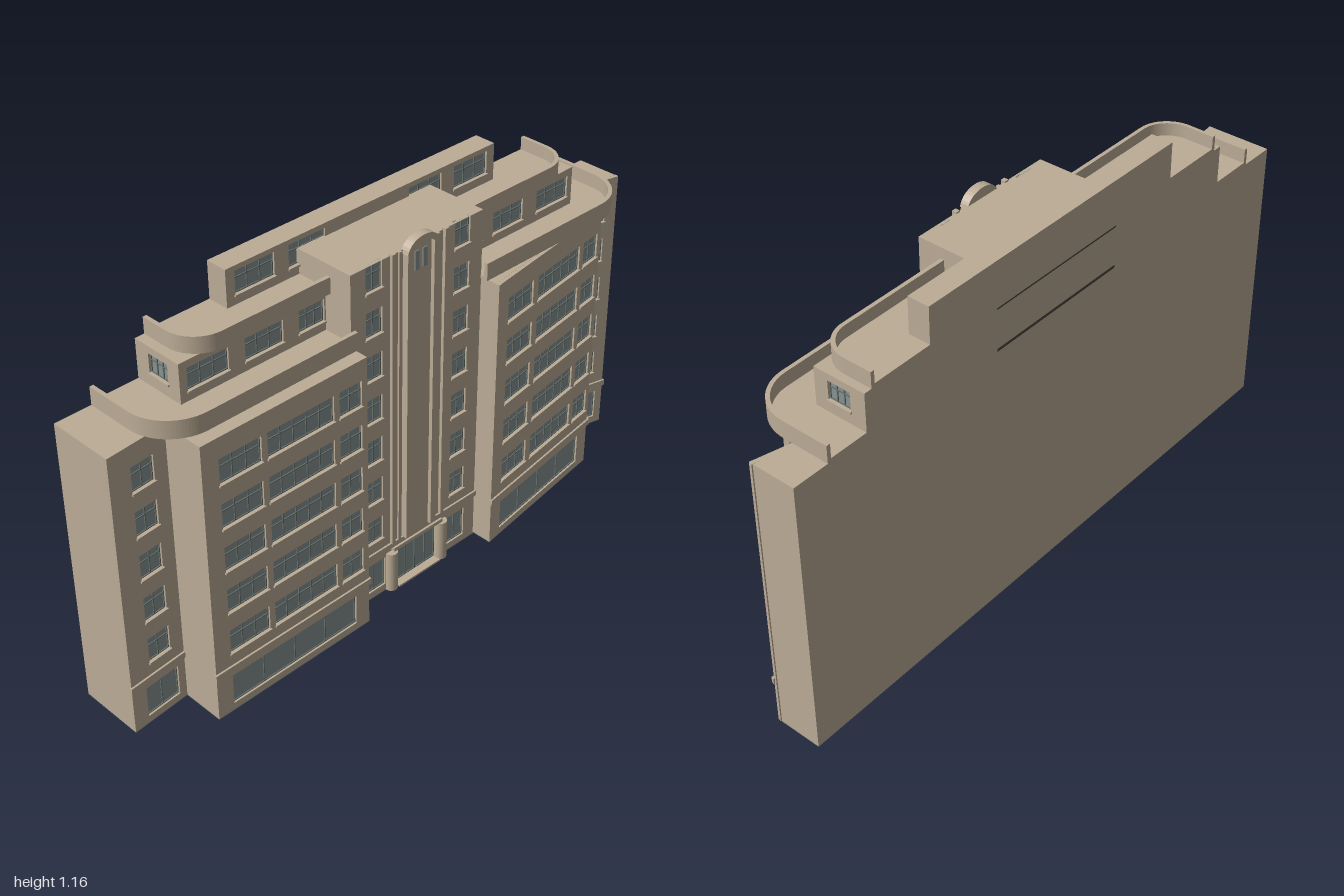
import * as THREE from 'three';
import { mergeGeometries } from 'three/addons/utils/BufferGeometryUtils.js';

const mat = (name, color) => {
  const m = new THREE.MeshStandardMaterial({ color });
  m.name = name;
  return m;
};

export function createModel() {
  const stone = mat('tan stone', 0xbcac96);
  const glass = mat('grey glass', 0x869391);
  const frame = mat('window frame grey', 0x69736f);
  const dark = mat('dark gap', 0x4a463f);
  const model = new THREE.Group();
  const BACK = -0.17, T = 0.012;

  const add = (name, geo, material, parent = model) => {
    const mesh = new THREE.Mesh(geo, material);
    mesh.name = name;
    parent.add(mesh);
    return mesh;
  };
  // box geometry from its limits
  const boxGeo = (x0, x1, y0, y1, z0, z1) =>
    new THREE.BoxGeometry(x1 - x0, y1 - y0, z1 - z0).translate((x0 + x1) / 2, (y0 + y1) / 2, (z0 + z1) / 2);
  const box = (name, material, ...b) => add(name, boxGeo(...b), material);
  // plan outline [x, z] raised from y0 to y1
  const slab = (name, shape, y0, y1, material = stone) =>
    add(name, new THREE.ExtrudeGeometry(shape, { depth: y1 - y0, bevelEnabled: false, curveSegments: 14 })
      .rotateX(-Math.PI / 2).translate(0, y0, 0), material);
  const plan = pts => new THREE.Shape(pts.map(([x, z]) => new THREE.Vector2(x, -z)));

  // Wall from a to b (plan points, outside on +z of its own frame) with real window openings.
  // opening: [from, to, yBottom, yTop, panes, sill]; from/to are x, or z on side walls
  function wall(name, a, b, y0, y1, openings = [], band = false) {
    const g = new THREE.Group();
    g.name = name;
    const dx = b[0] - a[0], dz = b[1] - a[1], len = Math.hypot(dx, dz);
    const axis = Math.abs(dx) > 0.001 ? 0 : 1;
    const along = v => (v - a[axis]) / (b[axis] - a[axis]) * len;
    const shape = new THREE.Shape([[0, y0], [len, y0], [len, y1], [0, y1]].map(p => new THREE.Vector2(...p)));
    const panes = [], bars = [], sills = [];
    for (const [p, q, bottom, top, n, sill] of openings) {
      const [u, v] = [along(p), along(q)].sort((m, k) => m - k);
      shape.holes.push(new THREE.Path([[u, bottom], [u, top], [v, top], [v, bottom]].map(c => new THREE.Vector2(...c))));
      panes.push(boxGeo(u, v, bottom, top, -T, -T + 0.003));
      const f = 0.003, z0 = -T, z1 = -T + 0.006;
      for (let i = 0; i <= n; i++) {
        const x = u + (v - u - f) * i / n;
        bars.push(boxGeo(x, x + f, bottom, top, z0, z1));
      }
      for (const y of [bottom, top - f].concat(sill ? [bottom + (top - bottom) * 0.62] : []))
        bars.push(boxGeo(u, v, y, y + f, z0, z1));
      if (sill) sills.push(boxGeo(u - 0.003, v + 0.003, bottom - 0.006, bottom, -0.004, 0.005));
    }
    if (band) sills.push(boxGeo(-0.004, len + 0.004, 0.143, 0.163, -0.004, 0.006));
    add(name + 'Face', new THREE.ExtrudeGeometry(shape, { depth: T, bevelEnabled: false }).translate(0, 0, -T), stone, g);
    if (panes.length) {
      add(name + 'Glass', mergeGeometries(panes), glass, g);
      add(name + 'WindowFrames', mergeGeometries(bars), frame, g);
    }
    if (sills.length) add(name + 'Sills', mergeGeometries(sills), stone, g);
    g.position.set(a[0], 0, a[1]);
    g.rotation.y = -Math.atan2(dz, dx);
    model.add(g);
  }

  // repeat window columns [from, to, panes] over a number of storeys
  const storeys = (columns, count = 5) => {
    const out = [];
    for (let i = 0; i < count; i++)
      for (const [p, q, n] of columns) out.push([p, q, 0.205 + i * 0.14, 0.285 + i * 0.14, n, true]);
    return out;
  };

  // main body behind the walls
  slab('bodyCore', plan([[-1, BACK], [-1, 0.028], [-0.798, 0.012], [-0.798, 0.148], [-0.257, 0.148], [-0.257, 0.083],
    [0.277, 0.083], [0.277, 0.146], [0.784, 0.078], [0.852, -0.067], [1, -0.033], [1, BACK]].reverse()), 0.002, 0.91);
  slab('underside', plan([[-1, BACK], [-1, 0.04], [-0.81, 0.025], [-0.81, 0.16], [-0.245, 0.16], [-0.245, 0.095],
    [0.265, 0.095], [0.265, 0.16], [0.79, 0.09], [0.86, -0.055], [1, -0.02], [1, BACK]].reverse()), 0, 0.003, glass);

  // street walls, left to right
  const Y0 = 0.003, H = 0.91;
  wall('westWing', [-1, 0.04], [-0.81, 0.025], Y0, H,
    [[-0.95, -0.835, 0.025, 0.125, 2], ...storeys([[-0.93, -0.855, 2]])], true);
  wall('westBayOuterSide', [-0.81, 0.025], [-0.81, 0.16], Y0, H);
  wall('westBay', [-0.81, 0.16], [-0.245, 0.16], Y0, H,
    [[-0.755, -0.295, 0.025, 0.125, 4],
      ...storeys([[-0.755, -0.615, 3], [-0.595, -0.365, 5], [-0.345, -0.265, 2]])], true);
  wall('westBayInnerSide', [-0.245, 0.16], [-0.245, 0.09], Y0, H);
  wall('eastBayInnerSide', [0.265, 0.09], [0.265, 0.16], Y0, H);
  wall('eastBay', [0.265, 0.16], [0.79, 0.09], Y0, H,
    [[0.315, 0.74, 0.025, 0.125, 4],
      ...storeys([[0.315, 0.44, 3], [0.465, 0.68, 5], [0.7, 0.775, 2]])], true);
  wall('eastCorner', [0.79, 0.09], [0.86, -0.055], Y0, H, storeys([[0.814, 0.835, 2]]), true);
  wall('eastWing', [0.86, -0.055], [1, -0.02], Y0, H,
    [[0.895, 0.975, 0.025, 0.125, 2], ...storeys([[0.905, 0.96, 2]])], true);

  // central tower
  box('towerCore', stone, -0.24, 0.26, 0.003, 1.125, -0.11, 0.083);
  wall('towerFront', [-0.24, 0.095], [0.26, 0.095], Y0, 1.125,
    [[-0.205, -0.115, 0.025, 0.125, 2], [-0.07, 0.095, 0.006, 0.138, 4], [0.14, 0.215, 0.025, 0.125, 2],
      ...storeys([[-0.185, -0.125, 2], [0.15, 0.21, 2]], 7)]);
  box('towerBaseBand', stone, -0.24, 0.262, 0.15, 0.167, 0.09, 0.101);
  const CX = 0.01;
  for (const s of [-1, 1]) {
    const fin = (name, d, w, top, z) =>
      box(name, stone, CX + s * d - w / 2, CX + s * d + w / 2, 0.167, top, 0.09, z);
    fin('towerOuterFin', 0.1, 0.014, 1.13, 0.105);
    fin('towerInnerFin', 0.072, 0.01, 1.125, 0.101);
    fin('towerCentreRib', 0.05, 0.018, 1.125, 0.115);
    // rounded entrance piers
    add('entrancePier', new THREE.CylinderGeometry(0.02, 0.02, 0.135, 20)
      .translate(CX + s * 0.103, 0.0685, 0.097), stone);
    box('towerSlotWindow', glass, CX + s * 0.015 - 0.008, CX + s * 0.015 + 0.008, 1.05, 1.108, 0.101, 0.106);
  }
  box('towerCentrePanel', stone, CX - 0.042, CX + 0.042, 0.167, 1.13, 0.09, 0.103);
  box('entranceLintel', stone, CX - 0.1, CX + 0.1, 0.138, 0.15, 0.09, 0.108);
  box('entranceStep', stone, CX - 0.085, CX + 0.085, 0, 0.006, 0.07, 0.115);

  // shallow arched hood closing the centre strip
  const hood = new THREE.Shape();
  hood.moveTo(CX - 0.062, 1.115);
  hood.bezierCurveTo(CX - 0.05, 1.17, CX + 0.05, 1.17, CX + 0.062, 1.115);
  hood.lineTo(CX + 0.044, 1.115);
  hood.bezierCurveTo(CX + 0.036, 1.146, CX - 0.036, 1.146, CX - 0.044, 1.115);
  add('towerHood', new THREE.ExtrudeGeometry(hood, { depth: 0.027, bevelEnabled: false, curveSegments: 16 })
    .translate(0, 0, 0.09), stone);
  const hoodBack = new THREE.Shape();
  hoodBack.moveTo(CX - 0.055, 1.115);
  hoodBack.bezierCurveTo(CX - 0.045, 1.165, CX + 0.045, 1.165, CX + 0.055, 1.115);
  add('towerHoodPanel', new THREE.ExtrudeGeometry(hoodBack, { depth: 0.012, bevelEnabled: false, curveSegments: 16 })
    .translate(0, 0, 0.09), stone);

  // terrace with a parapet sweeping round one corner, s = -1 or 1
  function terrace(name, s, outer, inner, zFront, r, y0, y1) {
    const edge = (path, o, z, rad, forward) => {
      if (forward) {
        path.lineTo(s * o, -(z - rad));
        path.absarc(s * (o - rad), -(z - rad), rad, s > 0 ? 0 : Math.PI, -Math.PI / 2 + (s > 0 ? 0 : Math.PI * 2), s > 0);
      } else {
        path.absarc(s * (o - rad), -(z - rad), rad, -Math.PI / 2 + (s > 0 ? 0 : Math.PI * 2), s > 0 ? 0 : Math.PI, s < 0);
        path.lineTo(s * o, -BACK);
      }
    };
    const floor = new THREE.Shape();
    floor.moveTo(s * outer, -BACK);
    edge(floor, outer, zFront, r, true);
    floor.lineTo(s * inner, -zFront);
    floor.lineTo(s * inner, -BACK);
    slab(name + 'Floor', floor, y0, y0 + 0.01);
    const rim = new THREE.Shape();
    rim.moveTo(s * outer, -BACK);
    edge(rim, outer, zFront, r, true);
    rim.lineTo(s * inner, -zFront);
    rim.lineTo(s * inner, -(zFront - T));
    edge(rim, outer - T, zFront - T, r - T, false);
    slab(name + 'Parapet', rim, y0, y1);
  }
  terrace('lowerTerraceWest', -1, 0.885, 0.238, 0.12, 0.14, 0.91, 0.965);
  terrace('lowerTerraceEast', 1, 0.885, 0.258, 0.12, 0.14, 0.91, 0.965);
  terrace('upperTerraceWest', -1, 0.705, 0.238, 0.02, 0.1, 1.04, 1.09);
  terrace('upperTerraceEast', 1, 0.725, 0.258, 0.02, 0.1, 1.04, 1.09);

  // first setback storey
  box('setbackCore', stone, -0.723, 0.738, 0.91, 1.04, BACK, -0.012);
  const row = (cols, y0, y1) => cols.map(([p, q]) => [p, q, y0, y1, 3, true]);
  wall('setbackFront', [-0.735, 0], [0.75, 0], 0.915, 1.04,
    row([[-0.71, -0.575], [-0.52, -0.39], [-0.335, -0.245], [0.27, 0.36], [0.41, 0.535], [0.595, 0.73]], 0.95, 1.018));
  wall('setbackEastSide', [0.75, 0], [0.75, BACK], 0.915, 1.04, row([[-0.045, -0.12]], 0.96, 1.018));
  wall('setbackWestSide', [-0.735, BACK], [-0.735, 0], 0.915, 1.04, row([[-0.045, -0.12]], 0.96, 1.018));

  // top storey
  box('topStoreyCore', stone, -0.49, 0.515, 1.03, 1.165, BACK, -0.112);
  wall('topStoreyFront', [-0.49, -0.1], [0.515, -0.1], 1.04, 1.165,
    row([[-0.46, -0.325], [-0.275, -0.145], [0.17, 0.3], [0.35, 0.485]], 1.08, 1.15));

  // narrow gaps in the rear wall
  box('rearUpperGap', dark, -0.24, 0.26, 1.014, 1.019, BACK - 0.001, BACK + 0.002);
  box('rearLowerGap', dark, -0.24, 0.26, 0.88, 0.889, BACK - 0.001, BACK + 0.002);

  return model;
}
